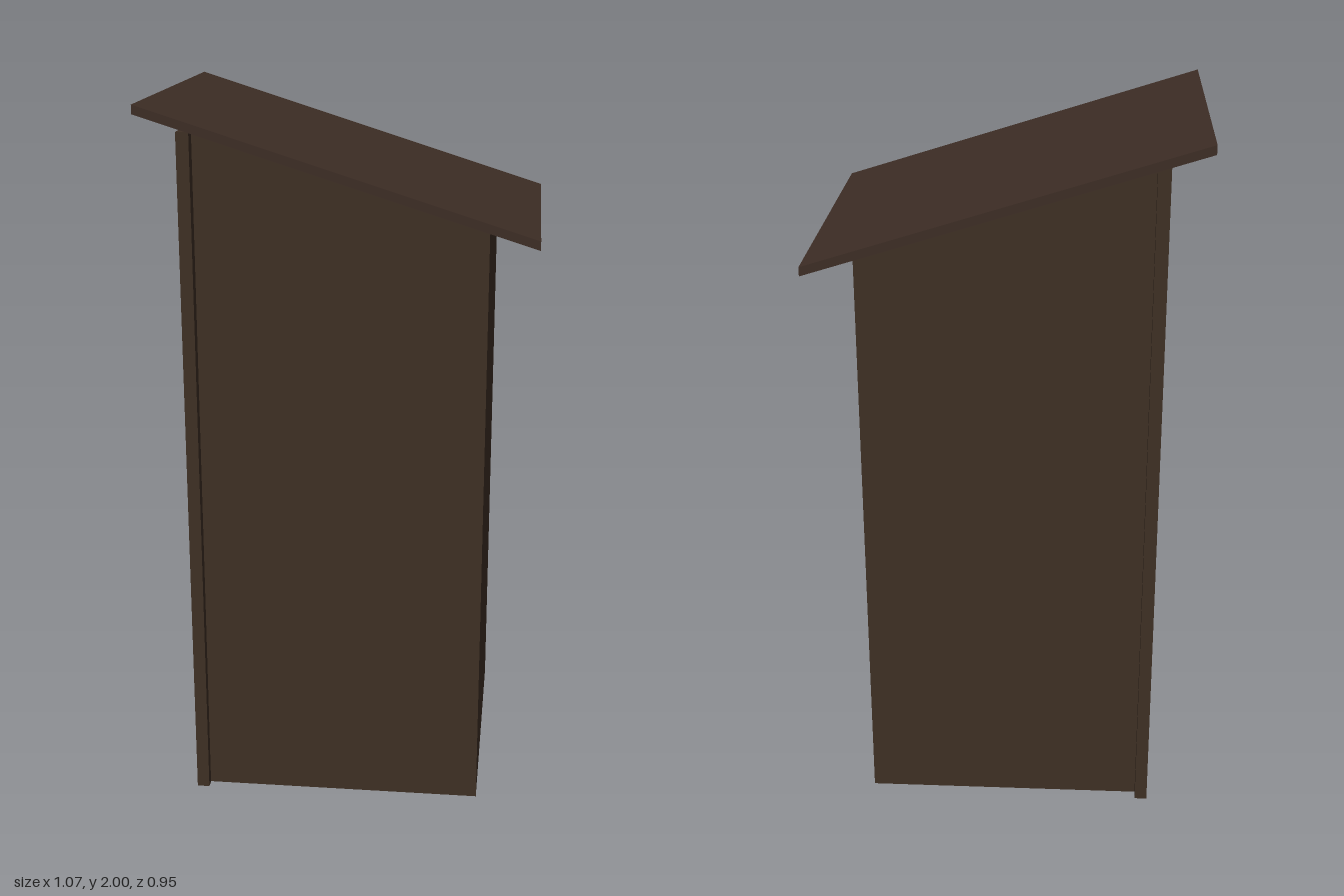
import * as THREE from 'three';

const wood = new THREE.MeshStandardMaterial({ color: 0x3e2f24 });
wood.name = 'darkWood';
const roofWood = new THREE.MeshStandardMaterial({ color: 0x3d2d25 });
roofWood.name = 'roofWood';
const floorWood = new THREE.MeshStandardMaterial({ color: 0x4a342d });
floorWood.name = 'floorWood';

const FRONT = -0.39, BACK = 0.4, HALF = 0.415, T = 0.012, ROOF = 0.025;
// height of the roof's underside at x
const eave = (x) => 1.975 - 0.3146 * (x + 0.535);

export function createModel() {
  const group = new THREE.Group();
  const add = (name, geometry, material, x = 0, y = 0, z = 0) => {
    const mesh = new THREE.Mesh(geometry, material);
    mesh.name = name;
    mesh.position.set(x, y, z);
    group.add(mesh);
    return mesh;
  };
  const extrude = (points, depth) => new THREE.ExtrudeGeometry(
    new THREE.Shape(points.map(([x, y]) => new THREE.Vector2(x, y))),
    { depth, bevelEnabled: false });
  const box = (w, h, d) => new THREE.BoxGeometry(w, h, d);

  // side walls with sloping tops
  for (const [name, z] of [['leftWall', HALF - T], ['rightWall', -HALF]]) {
    add(name, extrude([[FRONT, 0], [BACK, 0], [BACK, eave(BACK)], [FRONT, eave(FRONT)]], T), wood, 0, 0, z);
  }

  // low rear wall
  const rearHeight = eave(BACK);
  add('rearWall', box(T, rearHeight, 2 * (HALF - T)), wood, BACK - T / 2, rearHeight / 2, 0);

  // floor and bench
  add('floor', box(BACK - FRONT - T, 0.006, 2 * (HALF - T)), floorWood, (FRONT + BACK - T) / 2, 0.003, 0);
  add('bench', box(BACK - T, 0.384, 2 * (HALF - T)), wood, (BACK - T) / 2, 0.198, 0);

  // entrance panel: one frame open at the bottom, leaning very slightly
  const w = 0.445, o = 0.31, doorTop = 1.58, top = eave(FRONT);
  const panel = extrude([[-w, 0], [-o, 0], [-o, doorTop], [o, doorTop], [o, 0], [w, 0], [w, top], [-w, top]], 0.035);
  panel.rotateY(-Math.PI / 2);
  panel.translate(0, -1, 0);
  add('entranceFrame', panel, wood, FRONT, 1, 0).rotation.x = 0.0045;

  // sloping roof slab
  const e = 0.533;
  add('roof', extrude([[-e, eave(-e)], [e, eave(e)], [e, eave(e) + ROOF], [-e, eave(-e) + ROOF]], 0.95), roofWood, 0, 0, -0.475);

  return group;
}
